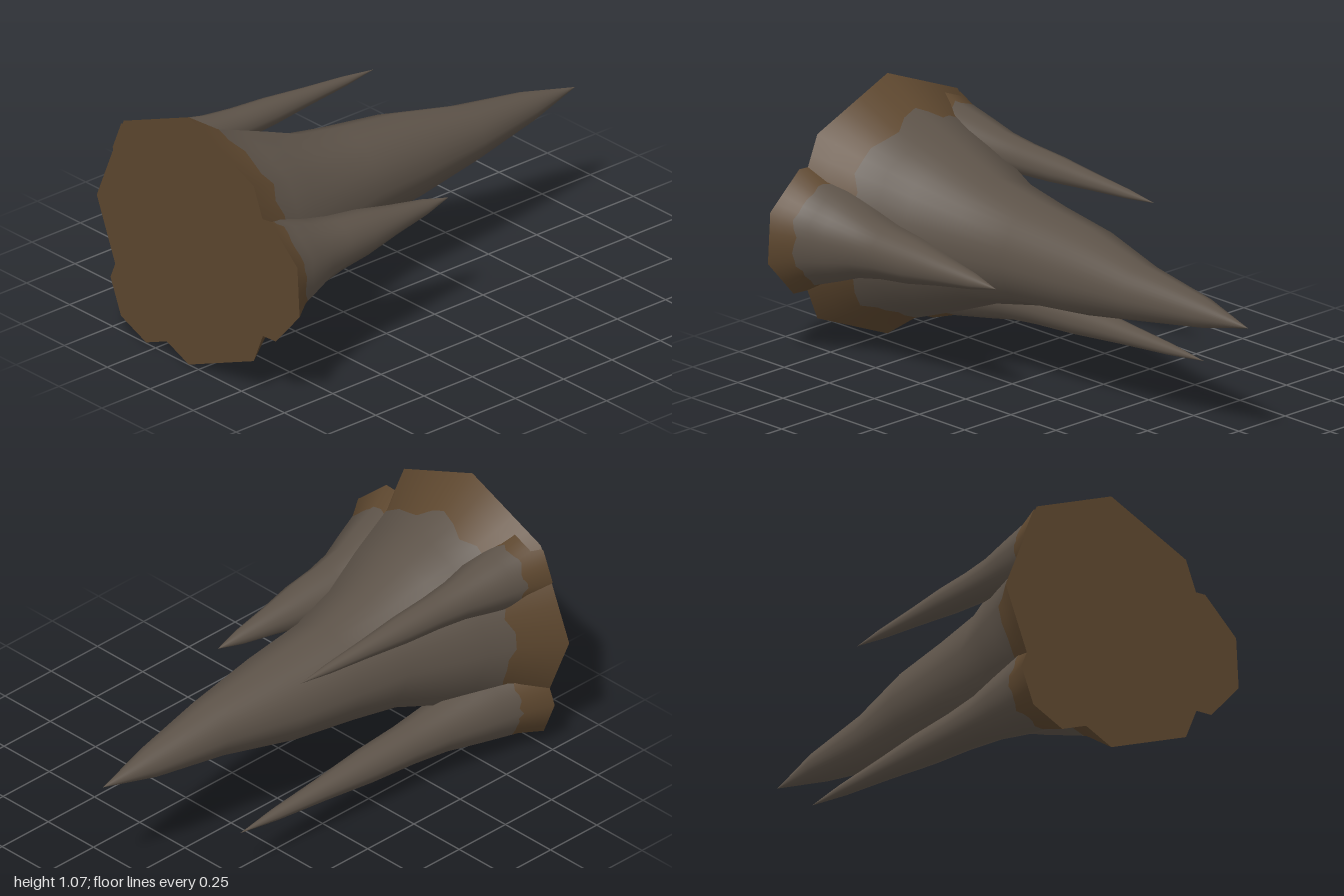
import * as THREE from 'three';

const SIDES = 8, SPLIT = 5, COLS = SIDES * SPLIT;

// Shared flared profile: [fraction of length, fraction of base radius, sideways drift]
const PROFILE = [
  [0, 1, 0], [0.075, 0.81, 0], [0.2, 0.635, 0], [0.3, 0.485, -0.01], [0.41, 0.4, -0.035],
  [0.55, 0.337, -0.022], [0.71, 0.22, 0.018], [0.875, 0.117, 0], [1, 0, 0],
];

function sample(t) {
  let i = 1;
  while (i < PROFILE.length - 1 && t > PROFILE[i][0]) i++;
  const a = PROFILE[i - 1], b = PROFILE[i];
  const k = (t - a[0]) / (b[0] - a[0]);
  return [a[1] + (b[1] - a[1]) * k, a[2] + (b[2] - a[2]) * k];
}

function seeded(seed) {
  let s = seed;
  return () => (s = (s * 16807) % 2147483647) / 2147483647;
}

// Octagonal skin between rows; rowsAt(column) lists the length fractions for that column
function skin(spike, rowsAt) {
  const { x, y, radius, length, turn, drift } = spike;
  const pos = [], nor = [], idx = [];
  const count = rowsAt(0).length;
  const step = (Math.PI * 2) / SIDES;
  for (let c = 0; c <= COLS; c++) {
    const side = Math.floor(c / SPLIT), k = (c % SPLIT) / SPLIT;
    const a0 = turn + side * step, a1 = a0 + step;
    const ux = Math.cos(a0) * (1 - k) + Math.cos(a1) * k;
    const uy = Math.sin(a0) * (1 - k) + Math.sin(a1) * k;
    for (const t of rowsAt(c % COLS)) {
      const [r, d] = sample(t);
      pos.push(x + (ux * r + d * drift) * radius, y + uy * r * radius, 1 - t * length);
      // smooth normal from the outward direction and the local slope
      const t0 = Math.max(0, t - 0.06), t1 = Math.min(1, t + 0.06);
      const slope = ((sample(t0)[0] - sample(t1)[0]) * radius) / ((t1 - t0) * length);
      const n = new THREE.Vector3(ux, uy, 0).normalize().setZ(-slope).normalize();
      nor.push(n.x, n.y, n.z);
    }
  }
  for (let c = 0; c < COLS; c++) {
    for (let j = 0; j < count - 1; j++) {
      const a = c * count + j, b = a + count;
      idx.push(a, a + 1, b, b, a + 1, b + 1);
    }
  }
  const g = new THREE.BufferGeometry();
  g.setAttribute('position', new THREE.Float32BufferAttribute(pos, 3));
  g.setAttribute('normal', new THREE.Float32BufferAttribute(nor, 3));
  g.setIndex(idx);
  return g;
}

export function createModel() {
  const stone = new THREE.MeshStandardMaterial({ color: 0x5c5248 });
  stone.name = 'greyStone';
  const earth = new THREE.MeshStandardMaterial({ color: 0x5c462e });
  earth.name = 'brownEarth';

  const spikes = [
    { name: 'mainSpike', x: -0.057, y: 0.535, radius: 0.535, length: 2, turn: 0, drift: 1 },
    { name: 'leftSpike', x: 0.33, y: 0.535, radius: 0.273, length: 1, turn: 0.454, drift: 0 },
    { name: 'lowerRightSpike', x: -0.305, y: 0.21, radius: 0.207, length: 1.5, turn: 0, drift: 0 },
    { name: 'upperRightSpike', x: -0.33, y: 0.775, radius: 0.17, length: 1.2, turn: 0, drift: 0 },
  ];

  const model = new THREE.Group();
  model.name = 'spikeCluster';
  spikes.forEach((spike, i) => {
    const group = new THREE.Group();
    group.name = spike.name;
    const add = (name, geometry, material) => {
      const mesh = new THREE.Mesh(geometry, material);
      mesh.name = name;
      group.add(mesh);
      return mesh;
    };

    // Ragged line where the earth gives way to stone
    const rand = seeded(811 + i * 977);
    const edge = Array.from({ length: COLS }, () => 0.077 + rand() * 0.018);
    add('earthSkirt', skin(spike, (c) => [0, 0.035, 0.075, edge[c]]), earth);
    const upper = [0.14, ...PROFILE.slice(2).map((p) => p[0])];
    add('stoneShaft', skin(spike, (c) => [edge[c], ...upper]), stone);

    // Flat base plate
    const base = add('base', new THREE.CircleGeometry(spike.radius, SIDES, spike.turn), earth);
    base.position.set(spike.x, spike.y, 1);
    model.add(group);
  });
  return model;
}
